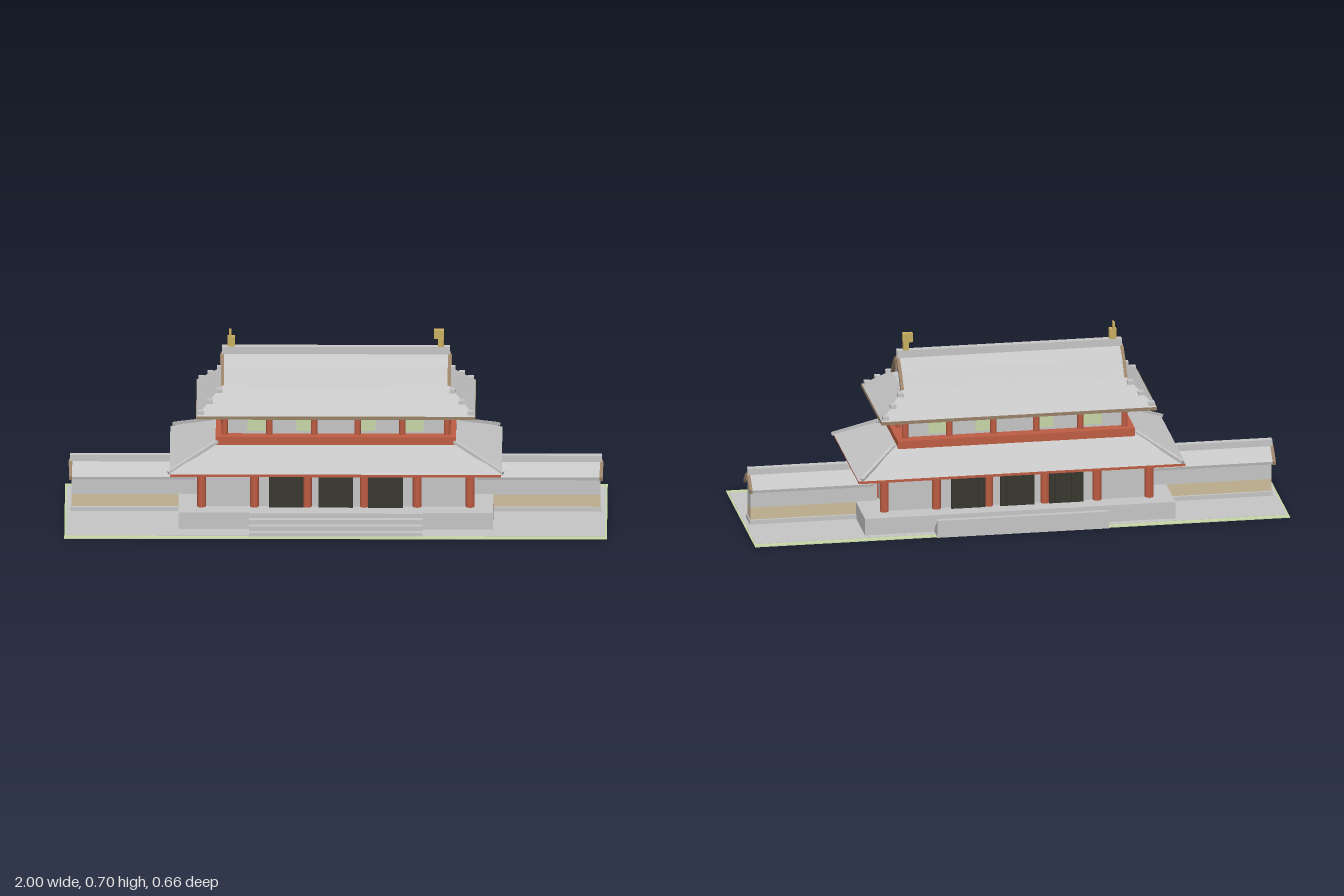
import * as THREE from 'three';

const mat = (name, color) => Object.assign(new THREE.MeshStandardMaterial({ color }), { name });

export function createModel() {
  const grey = mat('stone grey', 0xc5c5c5);
  const red = mat('vermilion', 0xbe5d43);
  const brown = mat('timber brown', 0x998268);
  const tan = mat('plaster tan', 0xcdbd9b);
  const green = mat('pale green', 0xc6d6a6);
  const gold = mat('gold', 0xc8ae60);
  const dark = mat('door black', 0x38372f);

  const model = new THREE.Group();
  model.name = 'gateHall';
  const hall = new THREE.Group(); // the hall sits slightly behind the centre
  hall.name = 'hall';
  hall.position.z = -0.02;
  model.add(hall);

  const add = (parent, name, geo, m, x = 0, y = 0, z = 0) => {
    const mesh = new THREE.Mesh(geo, m);
    mesh.name = name;
    mesh.position.set(x, y, z);
    parent.add(mesh);
    return mesh;
  };
  // box given by its ranges
  const box = (parent, name, m, x0, x1, y0, y1, z0, z1) =>
    add(parent, name, new THREE.BoxGeometry(x1 - x0, y1 - y0, z1 - z0), m,
      (x0 + x1) / 2, (y0 + y1) / 2, (z0 + z1) / 2);
  // square bar between two points
  const bar = (parent, name, m, a, b, w, h) => {
    const A = new THREE.Vector3(...a), B = new THREE.Vector3(...b);
    const mesh = add(parent, name, new THREE.BoxGeometry(w, h, A.distanceTo(B)), m);
    mesh.position.copy(A).lerp(B, 0.5);
    mesh.lookAt(B);
    return mesh;
  };
  // hipped block tapering from half sizes (bx, bz) to (tx, tz)
  const hip = (parent, name, m, bx, bz, y0, tx, tz, y1) => {
    const geo = new THREE.BoxGeometry(2, y1 - y0, 2);
    const p = geo.attributes.position;
    for (let i = 0; i < p.count; i++) {
      const top = p.getY(i) > 0;
      p.setX(i, p.getX(i) * (top ? tx : bx));
      p.setZ(i, p.getZ(i) * (top ? tz : bz));
    }
    geo.computeVertexNormals();
    return add(parent, name, geo, m, 0, (y0 + y1) / 2, 0);
  };
  // profile in (z, y) drawn out along x
  const prism = (parent, name, m, pts, x0, x1, z = 0) => {
    const shape = new THREE.Shape(pts.map(([a, b]) => new THREE.Vector2(a, b)));
    const geo = new THREE.ExtrudeGeometry(shape, { depth: x1 - x0, bevelEnabled: false });
    geo.rotateY(Math.PI / 2);
    return add(parent, name, geo, m, x0, 0, z);
  };
  // curved gable shell outline from half a profile (ridge first)
  const shell = (half, t) => {
    const outer = [...half.slice(1).reverse().map(([z, y]) => [-z, y]), ...half];
    const inner = outer.map(([z, y]) => [z * 0.96, y - t]).reverse();
    return [...outer, ...inner];
  };

  // ground
  box(model, 'lawn', green, -1, 1, 0.0005, 0.003, -0.318, 0.328);
  box(model, 'paving', grey, -0.993, 0.993, 0, 0.004, -0.288, 0.298);

  // platform and steps
  box(model, 'platform', grey, -0.58, 0.58, 0.002, 0.068, -0.262, 0.222);
  const back = [-0.262, -0.268, -0.289, -0.31, -0.328];
  for (let i = 0; i < 4; i++) {
    box(model, 'frontStep', grey, -0.32, 0.32, 0.002, 0.068 - i * 0.017, 0.22, 0.232 + i * 0.024);
    box(model, 'backStep', grey, -0.32, 0.32, 0.002, 0.017 * (i + 1), back[i + 1], back[i]);
  }

  // lower storey
  box(hall, 'lowerWall', grey, -0.49, 0.49, 0.066, 0.222, -0.165, 0.165);
  const post = (name, x, z, y0, y1, r) =>
    add(hall, name, new THREE.CylinderGeometry(r, r, y1 - y0, 8).toNonIndexed(), red, x, (y0 + y1) / 2, z);
  for (const s of [-1, 1]) {
    for (const x of [-0.495, -0.3, -0.105, 0.105, 0.3, 0.495])
      post('lowerPost', x, s * 0.166, 0.068, 0.222, 0.0165);
    post('lowerSidePost', s * 0.495, 0, 0.068, 0.222, 0.0165);
    for (const x of [-0.183, 0, 0.183]) {
      box(hall, 'door', dark, x - 0.064, x + 0.064, 0.068, 0.2, s * 0.178 - 0.004, s * 0.178 + 0.004);
      for (let i = 0; i < 7; i++)
        box(hall, 'doorBatten', dark, x - 0.062 + i * 0.02, x - 0.058 + i * 0.02, 0.07, 0.198,
          s * 0.183 - 0.002, s * 0.183 + 0.002);
    }
  }

  // lower roof
  box(hall, 'lowerEave', red, -0.61, 0.61, 0.22, 0.23, -0.285, 0.285);
  hip(hall, 'lowerRoof', grey, 0.612, 0.285, 0.23, 0.445, 0.143, 0.31);
  for (const sx of [-1, 1]) for (const sz of [-1, 1])
    bar(hall, 'lowerHipRidge', grey, [sx * 0.608, 0.234, sz * 0.281], [sx * 0.445, 0.313, sz * 0.143], 0.012, 0.012);

  // upper storey
  box(hall, 'balconyBand', red, -0.443, 0.443, 0.305, 0.335, -0.162, 0.162);
  box(hall, 'upperWall', grey, -0.405, 0.405, 0.334, 0.424, -0.117, 0.117);
  for (const s of [-1, 1]) {
    for (const x of [-0.41, -0.245, -0.08, 0.08, 0.245, 0.41])
      post('upperPost', x, s * 0.124, 0.335, 0.424, 0.012);
    post('upperSidePost', s * 0.41, 0, 0.335, 0.424, 0.014);
    for (const x of [-0.292, -0.112, 0.112, 0.288])
      box(hall, 'window', green, x - 0.034, x + 0.034, 0.345, 0.412, s * 0.118 - 0.003, s * 0.118 + 0.003);
  }

  // upper roof
  box(hall, 'upperEave', brown, -0.515, 0.515, 0.422, 0.434, -0.222, 0.222);
  hip(hall, 'upperRoofSkirt', grey, 0.513, 0.22, 0.434, 0.42, 0.113, 0.518);
  const main = [[0, 0.613], [0.03, 0.599], [0.06, 0.575], [0.096, 0.533], [0.121, 0.507]];
  prism(hall, 'upperRoof', grey, shell(main, 0.012), -0.42, 0.42);
  const gable = [[-0.1, 0.515], [0.1, 0.515], [0.06, 0.566], [0.03, 0.59], [0, 0.604], [-0.03, 0.59], [-0.06, 0.566]];
  prism(hall, 'gableWall', grey, gable, -0.39, 0.39);
  box(hall, 'mainRidge', grey, -0.42, 0.42, 0.608, 0.636, -0.013, 0.013);

  for (const s of [-1, 1]) {
    const span = (a, b) => (s > 0 ? [a, b] : [-b, -a]);
    // gable boards, pendant and lattice
    prism(hall, 'gableBoard', brown, shell(main.map(([z, y]) => [z * 1.01, y + 0.001]), 0.015), ...span(0.412, 0.424));
    box(hall, 'gablePendant', brown, ...span(0.41, 0.427), 0.566, 0.602, -0.01, 0.01);
    box(hall, 'pendantGold', gold, ...span(0.408, 0.416), 0.578, 0.598, -0.014, 0.014);
    for (let i = -2; i <= 2; i++)
      box(hall, 'gableLatticePost', brown, ...span(0.39, 0.398), 0.518, 0.58 - Math.abs(i) * 0.009,
        i * 0.019 - 0.0025, i * 0.019 + 0.0025);
    box(hall, 'gableLatticeRail', brown, ...span(0.39, 0.4), 0.545, 0.551, -0.045, 0.045);
    for (const sz of [-1, 1]) {
      box(hall, 'railEnd', gold, ...span(0.39, 0.404), 0.546, 0.559, sz * 0.042 - 0.007, sz * 0.042 + 0.007);
      // stepped tiles on the hips
      for (let i = 0; i < 3; i++)
        add(hall, 'hipTile', new THREE.BoxGeometry(0.022, 0.014, 0.022), grey,
          s * (0.497 - i * 0.034), 0.445 + i * 0.031, sz * (0.205 - i * 0.0355));
    }
  }

  // ridge finials
  box(hall, 'leftFinialBase', gold, 0.376, 0.397, 0.634, 0.668, -0.012, 0.012);
  box(hall, 'leftFinialHead', gold, 0.361, 0.398, 0.666, 0.7, -0.01, 0.01);
  box(hall, 'rightFinialBase', gold, -0.4, -0.373, 0.634, 0.674, -0.012, 0.012);
  box(hall, 'rightFinialSpike', gold, -0.394, -0.386, 0.674, 0.7, -0.01, 0.01);

  // side walls with small roofs
  const cap = [[0, 0.193], [0.02, 0.184], [0.045, 0.165], [0.067, 0.145]];
  for (const s of [-1, 1]) {
    const span = (a, b) => (s > 0 ? [a, b] : [-b, -a]);
    const wall = new THREE.Group();
    wall.name = s > 0 ? 'leftSideWall' : 'rightSideWall';
    wall.position.z = -0.03;
    model.add(wall);
    box(wall, 'footing', grey, ...span(0.5, 0.978), 0.002, 0.02, -0.04, 0.04);
    box(wall, 'plasterBand', tan, ...span(0.5, 0.974), 0.02, 0.066, -0.03, 0.03);
    box(wall, 'wallBody', grey, ...span(0.5, 0.974), 0.066, 0.148, -0.03, 0.03);
    prism(wall, 'wallRoof', grey, shell(cap, 0.011), ...span(0.52, 0.98));
    prism(wall, 'wallGableBoard', brown, shell(cap.map(([z, y]) => [z * 1.01, y + 0.001]), 0.014), ...span(0.972, 0.984));
    prism(wall, 'wallGable', grey, [[-0.03, 0.147], [0.03, 0.147], [0.03, 0.168], [0, 0.186], [-0.03, 0.168]], ...span(0.52, 0.96));
    box(wall, 'wallRidge', grey, ...span(0.52, 0.98), 0.188, 0.212, -0.013, 0.013);
    box(wall, 'wallPendant', brown, ...span(0.968, 0.986), 0.166, 0.184, -0.006, 0.006);
    for (const sz of [-1, 1])
      box(wall, 'wallBeam', brown, ...span(0.52, 0.972), 0.133, 0.144, sz * 0.0375 - 0.0075, sz * 0.0375 + 0.0075);
  }
  return model;
}
